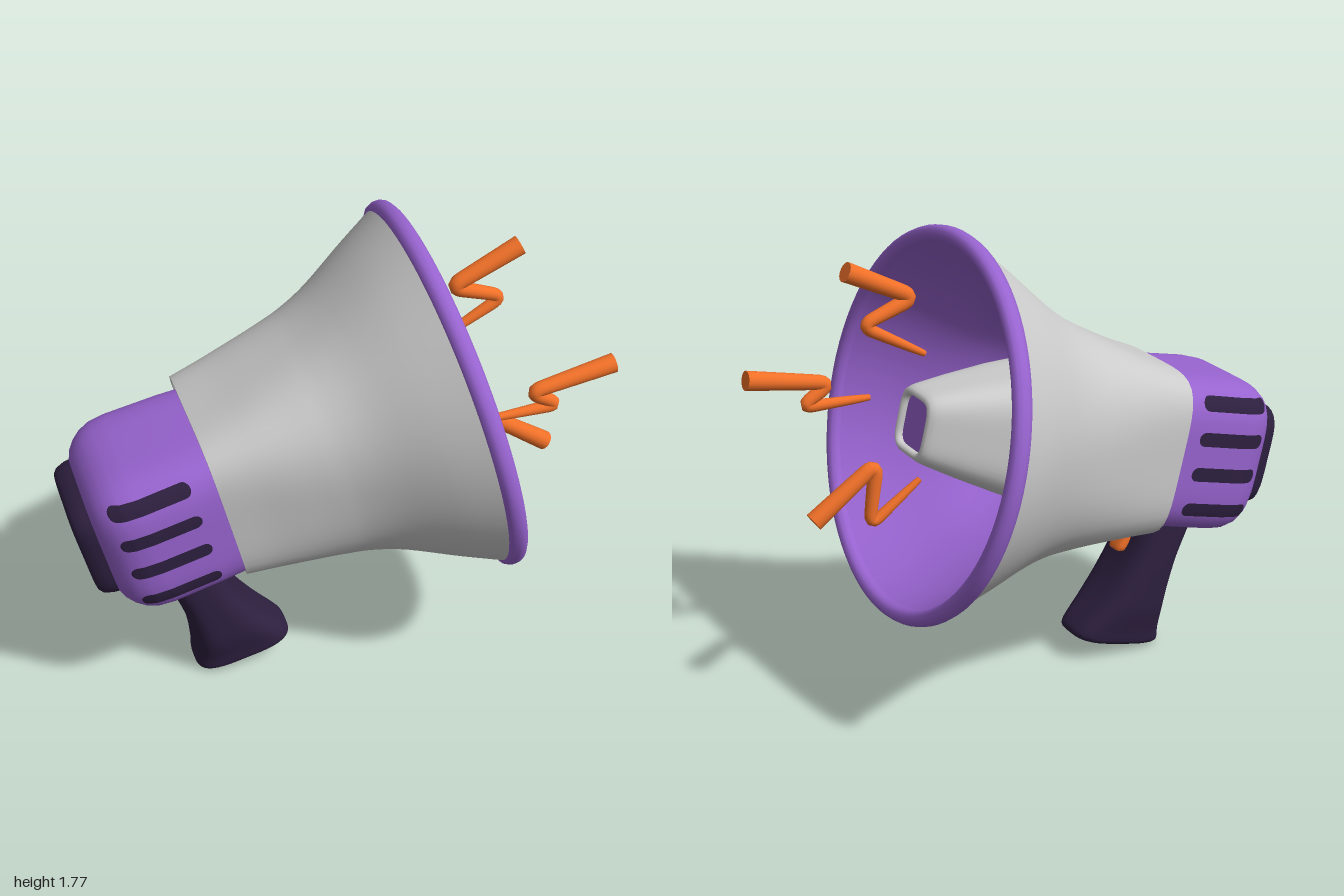
import * as THREE from 'three';
import { toCreasedNormals } from 'three/addons/utils/BufferGeometryUtils.js';

const mat = (color) => new THREE.MeshStandardMaterial({ color });
const grey = mat(0xcccccc), purple = mat(0x9864d0), dark = mat(0x2e2040), orange = mat(0xf07028);

function add(parent, name, geometry, material) {
  const mesh = new THREE.Mesh(geometry, material);
  mesh.name = name;
  parent.add(mesh);
  return mesh;
}

// Smoothly insert extra rings between the given ones.
function refine(rings, steps) {
  const out = [];
  const at = (i) => rings[Math.max(0, Math.min(rings.length - 1, i))];
  for (let i = 0; i < rings.length - 1; i++) {
    for (let s = 0; s < steps; s++) {
      const t = s / steps, [a, b, c, d] = [at(i - 1), at(i), at(i + 1), at(i + 2)];
      out.push(b.map((_, k) => 0.5 * (2 * b[k] + (c[k] - a[k]) * t
        + (2 * a[k] - 5 * b[k] + 4 * c[k] - d[k]) * t * t
        + (3 * b[k] - a[k] - 3 * c[k] + d[k]) * t * t * t)));
    }
  }
  out.push(rings[rings.length - 1]);
  return out;
}

// Skin over superellipse rings: [x1, y1, x2, y2, halfZ, exponent], where
// points 1 and 2 are opposite edges of the ring in the z = 0 plane.
function loft(rings, { steps = 1, capStart = false, capEnd = false, crease = 0.6 } = {}) {
  const list = refine(rings, steps), sides = 64;
  const centre = ([x1, y1, x2, y2, , n]) => [(x1 + x2) / 2, (y1 + y2) / 2, (x1 + x2) / 2, (y1 + y2) / 2, 0, n];
  if (capStart) list.unshift(centre(list[0]));
  if (capEnd) list.push(centre(list[list.length - 1]));
  const pos = [], index = [];
  list.forEach(([x1, y1, x2, y2, hz, n], i) => {
    for (let j = 0; j < sides; j++) {
      const a = (j / sides) * Math.PI * 2, c = Math.cos(a), s = Math.sin(a);
      const r = Math.pow(Math.abs(c) ** n + Math.abs(s) ** n, -1 / n);
      pos.push((x1 + x2) / 2 + (x2 - x1) / 2 * c * r, (y1 + y2) / 2 + (y2 - y1) / 2 * c * r, hz * s * r);
      if (i === list.length - 1) continue;
      const p = i * sides + j, q = i * sides + (j + 1) % sides;
      index.push(p, q, p + sides, q, q + sides, p + sides);
    }
  });
  const g = new THREE.BufferGeometry();
  g.setAttribute('position', new THREE.Float32BufferAttribute(pos, 3));
  g.setIndex(index);
  return toCreasedNormals(g, crease);
}

// Ring around the horn axis at u with half size h.
const ring = (u, h, n, hz = h) => [u, -h, u, h, hz, n];

// Tapered zigzag rod with rounded bends and flat ends.
function bolt(parent, points, z) {
  const pts = points.map(([x, y]) => new THREE.Vector3(x, y, z));
  const path = new THREE.CurvePath();
  let from = pts[0];
  for (let i = 1; i < pts.length - 1; i++) {
    const p = pts[i], bend = Math.min(0.055, p.distanceTo(pts[i + 1]) * 0.42);
    const a = p.clone().add(pts[i - 1].clone().sub(p).setLength(bend));
    const b = p.clone().add(pts[i + 1].clone().sub(p).setLength(bend));
    path.add(new THREE.LineCurve3(from, a));
    path.add(new THREE.QuadraticBezierCurve3(a, p, b));
    from = b;
  }
  path.add(new THREE.LineCurve3(from, pts[pts.length - 1]));
  const seg = 80, sides = 16, radius = (t) => 0.011 + 0.025 * t ** 0.7;
  const g = new THREE.TubeGeometry(path, seg, 1, sides, false), attr = g.attributes.position;
  const v = new THREE.Vector3();
  for (let i = 0; i < attr.count; i++) {
    const t = Math.floor(i / (sides + 1)) / seg, c = path.getPointAt(t);
    v.fromBufferAttribute(attr, i).sub(c).multiplyScalar(radius(t)).add(c);
    attr.setXYZ(i, v.x, v.y, v.z);
  }
  const group = new THREE.Group();
  group.name = 'soundBolt';
  parent.add(group);
  add(group, 'boltRod', g, orange);
  for (const t of [0, 1]) {
    const cap = add(group, 'boltEnd', new THREE.CircleGeometry(radius(t), sides), orange);
    cap.position.copy(path.getPointAt(t));
    const dir = path.getTangentAt(t).multiplyScalar(t ? 1 : -1);
    cap.quaternion.setFromUnitVectors(new THREE.Vector3(0, 0, 1), dir);
  }
}

export function createModel() {
  const model = new THREE.Group();
  model.name = 'megaphone';

  // Head: everything along the tilted horn axis, rim centre at its origin
  const head = new THREE.Group();
  head.name = 'head';
  head.position.set(0.445, 1.08, 0);
  head.rotation.z = THREE.MathUtils.degToRad(13.4);
  model.add(head);

  // Horn: rounded square at the throat, round at the rim
  const horn = [[-0.925, 0.319, 4.6], [-0.8, 0.345, 3.9], [-0.676, 0.378, 3.2], [-0.56, 0.412, 2.75],
    [-0.456, 0.449, 2.45], [-0.338, 0.508, 2.22], [-0.157, 0.618, 2.05], [-0.01, 0.698, 2]];
  add(head, 'hornShell', loft(horn.map((r) => ring(...r)), { steps: 5 }), grey);
  const throat = [ring(-0.85, 0.302, 4.6), ring(-0.925, 0.302, 4.6), ring(-0.925, 0.319, 4.6)];
  add(head, 'throatLip', loft(throat), grey);
  const inner = [[0.015, 0.662, 2], [-0.157, 0.574, 2.05], [-0.338, 0.46, 2.2], [-0.456, 0.39, 2.5],
    [-0.56, 0.322, 3], [-0.65, 0.25, 3.6]].map((r) => ring(...r));
  add(head, 'hornInside', loft(inner, { steps: 5 }), purple);

  // Rim
  const rim = [[0.65, -0.03], [0.69, -0.032], [0.706, -0.024], [0.714, -0.006], [0.714, 0.012], [0.707, 0.028],
    [0.694, 0.037], [0.678, 0.037], [0.664, 0.029], [0.656, 0.014], [0.65, -0.03]]
    .map(([r, y]) => new THREE.Vector2(r, y));
  const rimGeo = toCreasedNormals(new THREE.LatheGeometry(rim, 80), 0.8);
  add(head, 'hornRim', rimGeo.rotateZ(-Math.PI / 2), purple);

  // Inner speaker cone with recessed end panel
  const cone = [[-0.66, 0.275, 4], [-0.48, 0.256, 4], [-0.3, 0.218, 4], [-0.12, 0.17, 4], [-0.01, 0.137, 4.2],
    [0.02, 0.127, 4.3], [0.038, 0.117, 4.4], [0.046, 0.106, 4.5], [0.044, 0.097, 5], [0.035, 0.092, 5],
    [0.005, 0.09, 5]];
  add(head, 'innerCone', loft(cone.map((r) => ring(...r)), { crease: 0.9 }), grey).position.y = 0.005;
  const panel = loft([ring(0, 0.092, 5), ring(0.022, 0.092, 5)], { capEnd: true });
  add(head, 'conePanel', panel, purple).position.y = 0.005;

  // Rear body and back plate
  const rear = new THREE.Group();
  rear.name = 'rearBody';
  rear.position.set(0, -0.007, 0.02);
  head.add(rear);
  const profile = [[-1.378, 0.19], [-1.374, 0.21], [-1.36, 0.236], [-1.335, 0.261], [-1.303, 0.281],
    [-1.26, 0.295], [-1.2, 0.3], [-1.0, 0.296], [-0.85, 0.288]];
  const power = 4.5;
  add(rear, 'bodyShell', loft(profile.map(([u, h]) => ring(u, h, power, h + 0.002)), { capStart: true }), purple);
  const plate = [[-1.447, 0.165], [-1.443, 0.183], [-1.428, 0.197], [-1.395, 0.206], [-1.35, 0.21]];
  add(rear, 'backPlate', loft(plate.map(([u, h]) => ring(u, h, 5)), { capStart: true, crease: 0.8 }), dark);

  // Side vents: rounded strips laid on the curve of the body
  const halfAt = (u) => {
    const i = Math.max(1, profile.findIndex((p) => p[0] >= u));
    const [a, b] = [profile[i - 1], profile[i]];
    return THREE.MathUtils.lerp(a[1], b[1], (u - a[0]) / (b[0] - a[0]));
  };
  for (const v of [0.228, 0.095, -0.042, -0.184]) {
    const g = new THREE.PlaneGeometry(2, 2, 40, 8), p = g.attributes.position;
    const half = 0.15, r = 0.027;
    for (let i = 0; i < p.count; i++) {
      const x = Math.sin(p.getX(i) * Math.PI / 2) * half;
      const over = Math.max(0, Math.abs(x) - half + r);
      const y = v + p.getY(i) * Math.sqrt(Math.max(0, r * r - over * over));
      const u = x - 1.16, h = halfAt(u);
      const z = (h + 0.002) * Math.pow(Math.max(0, 1 - Math.abs(y / h) ** power), 1 / power);
      p.setXYZ(i, u, y, z + 0.003);
    }
    g.computeVertexNormals();
    for (const side of [1, -1]) add(rear, side > 0 ? 'ventFront' : 'ventBack', g, dark).scale.z = side;
  }

  // Handle flaring towards its foot
  const handle = [[-0.72, 0.58, -0.46, 0.62, 0.13, 3], [-0.68, 0.5, -0.455, 0.54, 0.137, 3],
    [-0.615, 0.37, -0.415, 0.42, 0.14, 3.2], [-0.575, 0.25, -0.355, 0.315, 0.14, 3.5],
    [-0.556, 0.15, -0.28, 0.22, 0.138, 3.5], [-0.55, 0.07, -0.2, 0.14, 0.122, 3.5],
    [-0.551, 0.03, -0.18, 0.112, 0.117, 3.5], [-0.545, 0.01, -0.185, 0.095, 0.112, 3.5],
    [-0.52, 0.003, -0.21, 0.078, 0.095, 3.5]];
  add(model, 'handle', loft(handle, { steps: 4, capEnd: true, crease: 0.9 }), dark).position.z = 0.025;

  // Trigger: curved finger lever with rounded edges
  const trigger = [[-0.475, 0.6, -0.42, 0.6, 0.04, 3], [-0.468, 0.53, -0.424, 0.54, 0.04, 3],
    [-0.45, 0.465, -0.41, 0.48, 0.04, 3], [-0.418, 0.413, -0.38, 0.428, 0.04, 3],
    [-0.405, 0.404, -0.374, 0.412, 0.034, 3]];
  add(model, 'trigger', loft(trigger, { steps: 4, capEnd: true }), orange).position.z = 0.025;

  // Sound bolts
  bolt(model, [[0.4, 1.325], [0.645, 1.465], [0.435, 1.54], [0.695, 1.668]], 0.06);
  bolt(model, [[0.515, 1.107], [0.79, 1.115], [0.665, 1.19], [0.99, 1.253]], 0.29);
  bolt(model, [[0.43, 0.85], [0.635, 0.705], [0.6, 0.945], [0.85, 0.768]], 0.06);

  return model;
}
